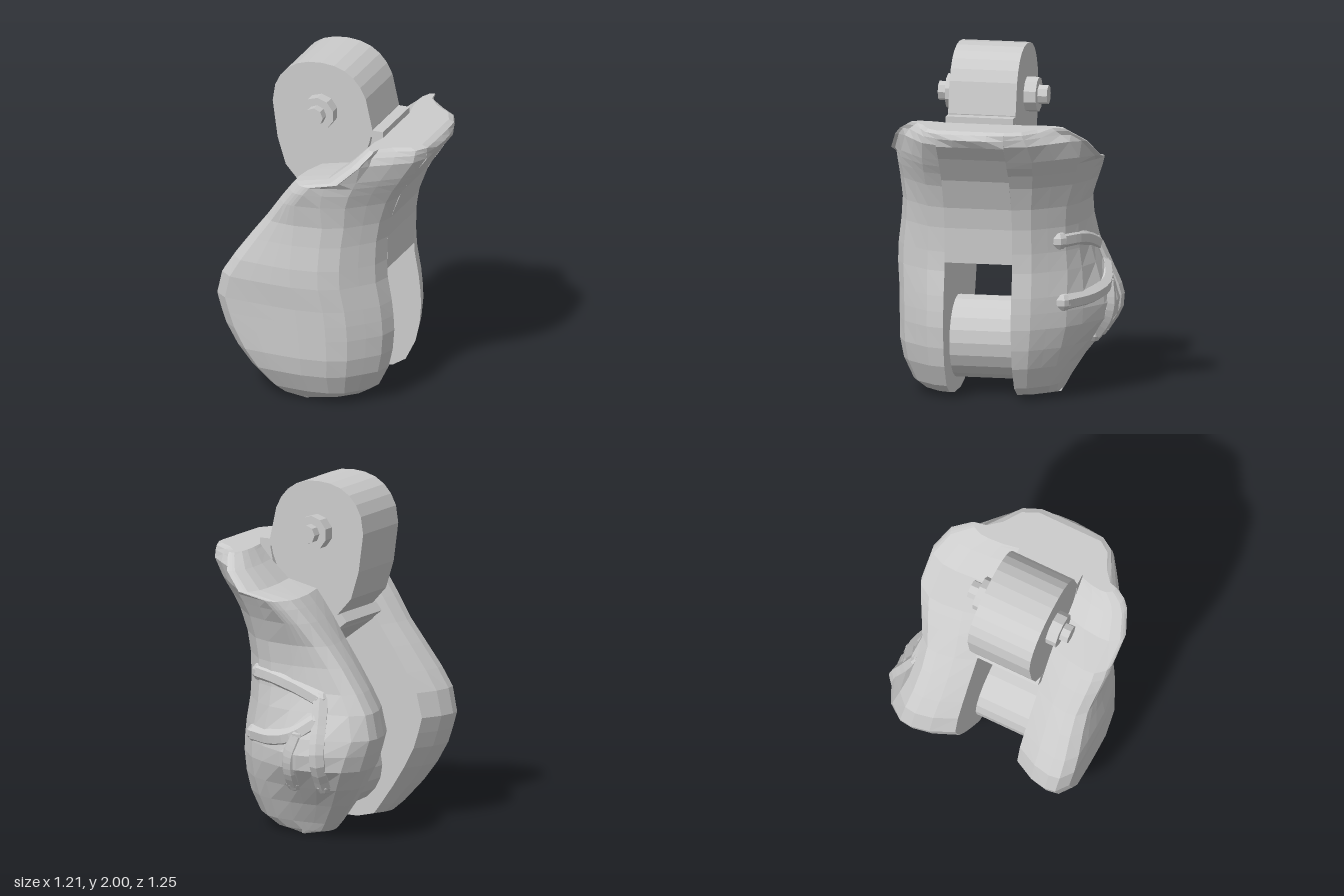
import * as THREE from 'three';

const material = new THREE.MeshStandardMaterial({ color: 0xcccccc, flatShading: true, side: THREE.DoubleSide });
const Z_BACK = -0.12, Z_FRONT = 0.27; // slot walls
const { clamp, lerp } = THREE.MathUtils;

function add(parent, name, geometry, x = 0, y = 0, z = 0) {
  const mesh = new THREE.Mesh(geometry, material);
  mesh.name = name;
  mesh.position.set(x, y, z);
  parent.add(mesh);
  return mesh;
}

// Skin counter-clockwise loops, closing both ends with a fan
function loft(loops, flip) {
  const n = loops[0].length, pos = loops.flat(2), idx = [];
  const tri = (a, b, c) => idx.push(...(flip ? [a, c, b] : [a, b, c]));
  for (let k = 0; k < loops.length - 1; k++) {
    for (let i = 0; i < n; i++) {
      const a = k * n + i, b = k * n + (i + 1) % n;
      tri(a, b, b + n);
      tri(a, b + n, a + n);
    }
  }
  [0, loops.length - 1].forEach((k) => {
    const hub = pos.length / 3;
    for (let c = 0; c < 3; c++) pos.push(loops[k].reduce((s, p) => s + p[c], 0) / n);
    for (let i = 0; i < n; i++) {
      const a = k * n + i, b = k * n + (i + 1) % n;
      if (k) tri(a, b, hub); else tri(b, a, hub);
    }
  });
  const g = new THREE.BufferGeometry();
  g.setAttribute('position', new THREE.Float32BufferAttribute(pos, 3));
  g.setIndex(idx);
  g.computeVertexNormals();
  return g;
}

// Piecewise-linear lookup in [key, value] pairs
function lookup(table, v) {
  for (let i = 1; i < table.length; i++) {
    const [a, fa] = table[i - 1], [b, fb] = table[i];
    if (v <= b) return lerp(fa, fb, clamp((v - a) / (b - a), 0, 1));
  }
  return table[table.length - 1][1];
}

// Cheek silhouette: height, -x edge, +x edge
const SIDES = [
  [0.005, -0.12, 0.06], [0.03, -0.25, 0.2], [0.08, -0.3, 0.28], [0.2, -0.4, 0.34], [0.31, -0.48, 0.365],
  [0.43, -0.55, 0.375], [0.52, -0.58, 0.37], [0.61, -0.605, 0.36], [0.75, -0.57, 0.335], [0.86, -0.5, 0.33],
  [1.0, -0.4, 0.335], [1.12, -0.31, 0.355], [1.25, -0.22, 0.4], [1.33, -0.16, 0.445], [1.38, -0.12, 0.48],
  [1.42, 0.08, 0.505], [1.52, 0.2, 0.57], [1.56, 0.24, 0.59], [1.585, 0.265, 0.575], [1.6, 0.28, 0.545],
];
// Rounding of the +x side: share of depth, distance in from the edge
const ROUND = [[0, 0], [0.3, 0.03], [0.53, 0.1], [0.78, 0.18], [0.93, 0.29], [1, 0.45]];
const ROUND_SCALE = [[0, 0.6], [0.2, 0.9], [0.4, 1], [1.1, 1], [1.4, 1.4]];
const FRONT_DEPTH = [[0, 0.17], [0.03, 0.2], [0.1, 0.27], [0.25, 0.33], [0.6, 0.34], [0.8, 0.36], [1.1, 0.32], [1.35, 0.355], [1.45, 0.34], [1.55, 0.28], [1.6, 0.2]];
const BACK_DEPTH = [[0, 0.19], [0.2, 0.28], [0.4, 0.35], [0.7, 0.36], [0.95, 0.34], [1.15, 0.36], [1.3, 0.43], [1.43, 0.48], [1.52, 0.42], [1.6, 0.3]];

const frontDepth = (x, y) => lookup(FRONT_DEPTH, y);
const backDepth = (x, y) => lookup(BACK_DEPTH, y)
  + 0.15 * Math.exp(-((x + 0.28) ** 2) / 0.08 - ((y - 0.5) ** 2) / 0.05);

// A cheek is a stack of plan sections: flat inside, round at +x, squarer at -x
function cheek(z0, dir, depth) {
  const loops = SIDES.map(([y, left, right]) => {
    const edge = Math.min(right, 0.575), span = edge - left, k = Math.min(1, span / 0.9);
    const scale = lookup(ROUND_SCALE, y);
    const plan = [[left + 0.08 * k, 0], [left + span / 2, 0]];
    ROUND.forEach(([w, inset]) => plan.push([edge - Math.min(inset * scale, span * (0.6 + 0.2 * w)), w]));
    const peak = plan[plan.length - 1][0], corner = left + 0.08 * k;
    [0.33, 0.66, 1].forEach((t) => plan.push([lerp(peak, corner, t), 1 - 0.04 * t * t]));
    plan.push([left + 0.01 * k, 0.8], [left, 0.62], [left + 0.02 * k, 0.34]);
    return plan.map(([x, w]) => [x, y, z0 + dir * w * depth(x, y)]);
  });
  return loft(loops, dir > 0);
}

// Profile of the part that joins the cheeks over the slot
const BRIDGE = [
  [0.51, 1.43], [0.57, 1.51], [0.6, 1.555], [0.58, 1.585], [0.545, 1.6], [0.24, 1.6], [0.2, 1.4], [0.08, 1.3],
  [-0.18, 1.26], [-0.24, 1.2], [-0.2, 1.15], [0, 1.0], [0.2, 0.84], [0.33, 0.8], [0.335, 1.0], [0.355, 1.12], [0.42, 1.29],
];

function zCylinder(r, z0, z1, sides) {
  return new THREE.CylinderGeometry(r, r, z1 - z0, sides).rotateX(Math.PI / 2).translate(0, 0, (z0 + z1) / 2);
}

export function createModel() {
  const model = new THREE.Group();
  model.name = 'pivotHousing';

  // Two thick cheeks with an open slot between them
  add(model, 'frontCheek', cheek(Z_FRONT, 1, frontDepth));
  const backCheek = add(model, 'backCheek', cheek(Z_BACK, -1, backDepth));

  // Bridge and overhanging lip across the slot, bowed in plan
  const slices = [0, 0.25, 0.5, 0.75, 1].map((t) => lerp(Z_BACK, Z_FRONT, t));
  const lipX = (z) => 0.6 - 0.64 * (z - 0.075) ** 2;
  add(model, 'bridge', loft(slices.map((z) => BRIDGE.map(([x, y]) => [Math.min(x, lipX(z)), y, z]))));

  // Ledges beside the pivot block
  const width = Z_FRONT - Z_BACK, zMid = (Z_FRONT + Z_BACK) / 2;
  add(model, 'lipStrip', new THREE.BoxGeometry(0.09, 0.04, width), 0.26, 1.615, zMid);
  add(model, 'slotLedge', new THREE.BoxGeometry(0.06, 0.06, width), -0.22, 1.21, zMid).rotation.z = 0.9;

  // Pivot block: round head tapering into the slot
  const block = new THREE.Shape();
  block.moveTo(-0.2, 1.24);
  block.lineTo(0.12, 1.3);
  block.lineTo(0.22, 1.55);
  block.lineTo(0.24, 1.64);
  block.lineTo(0.2, 1.82);
  block.quadraticCurveTo(0.13, 2, -0.07, 2);
  block.quadraticCurveTo(-0.29, 2, -0.355, 1.82);
  block.lineTo(-0.37, 1.72);
  block.lineTo(-0.34, 1.5);
  block.lineTo(-0.29, 1.34);
  block.closePath();
  add(model, 'pivotBlock', new THREE.ExtrudeGeometry(block, { depth: width, bevelEnabled: false, curveSegments: 5 }), 0, 0, Z_BACK);

  // Pivot nuts and bolt
  add(model, 'frontNut', zCylinder(0.1, Z_FRONT, 0.335, 10), -0.07, 1.71);
  add(model, 'backNut', zCylinder(0.1, -0.19, Z_BACK, 10), -0.07, 1.71);
  add(model, 'pivotBolt', zCylinder(0.055, -0.245, 0.385, 8), -0.07, 1.71);

  // Roller in the lower slot
  add(model, 'roller', zCylinder(0.235, Z_BACK, Z_FRONT, 20), -0.03, 0.315);

  // Raised branching grip draped over the back cheek
  const grip = new THREE.Group();
  grip.name = 'gripRelief';
  model.add(grip);
  backCheek.updateMatrixWorld(true);
  const ray = new THREE.Raycaster();
  const onCheek = ([x, y]) => {
    ray.set(new THREE.Vector3(x, y, -2), new THREE.Vector3(0, 0, 1));
    const hit = ray.intersectObject(backCheek)[0];
    return new THREE.Vector3(x, y, hit ? hit.point.z + 0.03 : -0.4);
  };
  const fingers = [
    [[-0.3, 0.82], [-0.16, 0.87], [0, 0.91], [0.16, 0.92]],
    [[-0.3, 0.7], [-0.18, 0.62], [-0.02, 0.58], [0.18, 0.57]],
    [[-0.2, 0.62], [-0.16, 0.5], [-0.15, 0.42], [-0.14, 0.34]],
    [[-0.3, 0.82], [-0.32, 0.7], [-0.34, 0.5], [-0.33, 0.34]],
  ];
  fingers.forEach((points) => {
    const path = new THREE.CatmullRomCurve3(points.map(onCheek));
    add(grip, 'gripFinger', new THREE.TubeGeometry(path, 10, 0.055, 7));
    [0, 1].forEach((t) => {
      const tip = path.getPoint(t);
      add(grip, 'gripFingerTip', new THREE.SphereGeometry(0.055, 7, 5), tip.x, tip.y, tip.z);
    });
  });

  return model;
}
